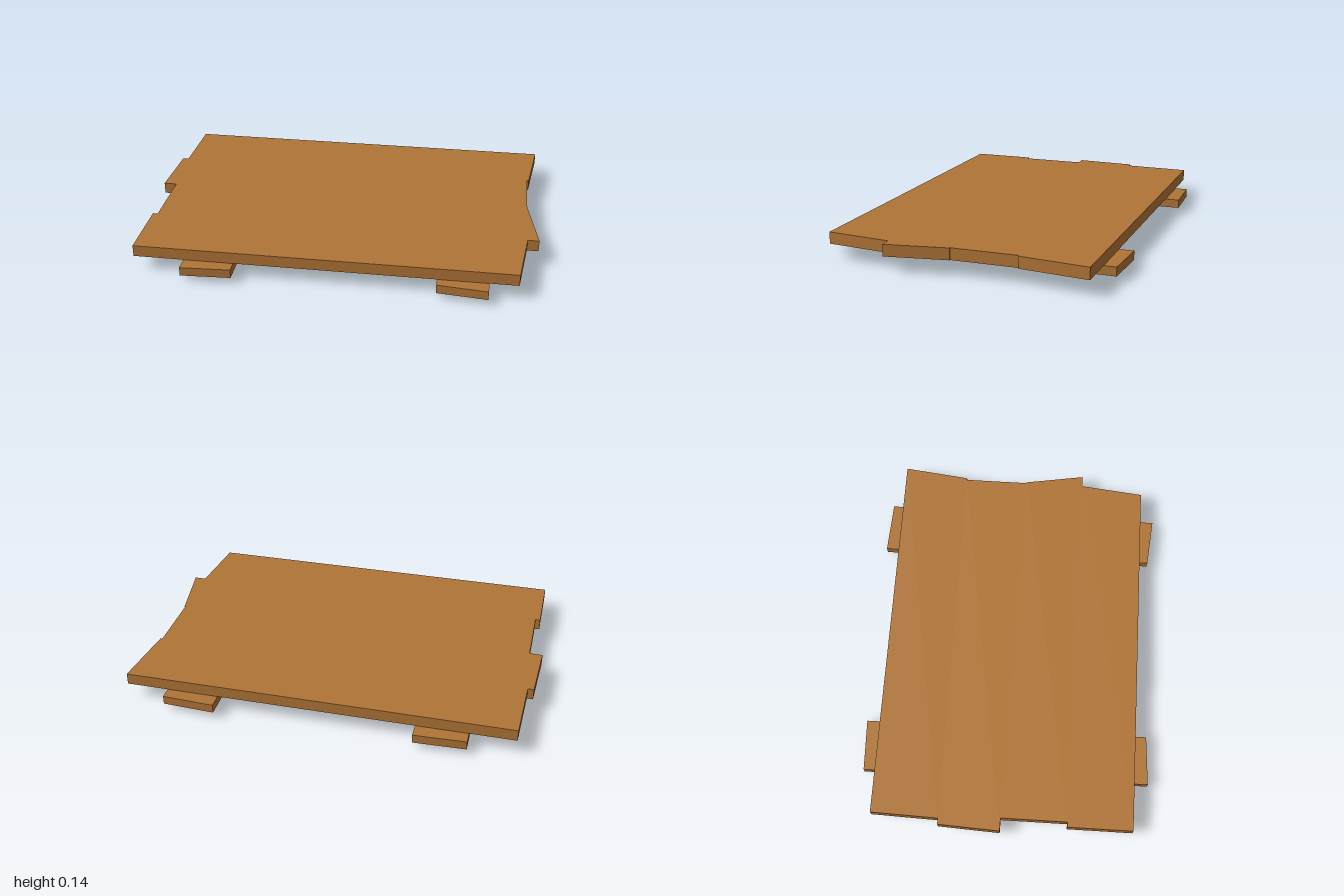
import * as THREE from 'three';

const wood = new THREE.MeshStandardMaterial({ color: 0xb07436 });
wood.name = 'wood';
const iron = new THREE.MeshStandardMaterial({ color: 0x48494c, flatShading: true });
iron.name = 'darkIron';

// Flat board from its [x, z] corners, standing between two heights
function board(name, corners, bottom, top) {
  const shape = new THREE.Shape(corners.map(([x, z]) => new THREE.Vector2(x, -z)));
  const geometry = new THREE.ExtrudeGeometry(shape, { depth: top - bottom, bevelEnabled: false });
  geometry.rotateX(-Math.PI / 2).translate(0, bottom, 0);
  const mesh = new THREE.Mesh(geometry, wood);
  mesh.name = name;
  return mesh;
}

export function createModel() {
  const model = new THREE.Group();
  model.name = 'plankPanel';

  // Four rough-cut planks side by side, back to front
  const planks = [
    [[-0.945, -0.656], [0.99, -0.656], [0.95, -0.318], [-0.955, -0.318]],
    [[-0.985, -0.318], [0.94, -0.318], [0.94, 0.015], [-1, -0.008]],
    [[-0.935, -0.008], [0.945, 0.015], [0.997, 0.324], [-0.935, 0.324]],
    [[-0.96, 0.324], [0.94, 0.324], [0.905, 0.651], [-0.96, 0.651]],
  ];
  planks.forEach((corners, i) => model.add(board(`plank${i + 1}`, corners, 0.077, 0.135)));

  // Two crosswise battens underneath
  model.add(board('rightBatten',
    [[-0.72, -0.72], [-0.463, -0.729], [-0.463, 0.711], [-0.71, 0.724]], 0.033, 0.077));
  model.add(board('leftBatten',
    [[0.52, -0.729], [0.78, -0.716], [0.765, 0.724], [0.52, 0.7]], 0.033, 0.077));

  // Domed bolt heads under the battens
  const dome = new THREE.SphereGeometry(0.049, 10, 4, 0, Math.PI * 2, Math.PI / 2, Math.PI / 2);
  dome.scale(1, 0.033 / 0.049, 1);
  [[-0.597, 0.54], [0.648, 0.55], [-0.58, -0.56], [0.64, -0.562]].forEach(([x, z], i) => {
    const bolt = new THREE.Mesh(dome, iron);
    bolt.name = `bolt${i + 1}`;
    bolt.position.set(x, 0.033, z);
    model.add(bolt);
  });

  return model;
}
